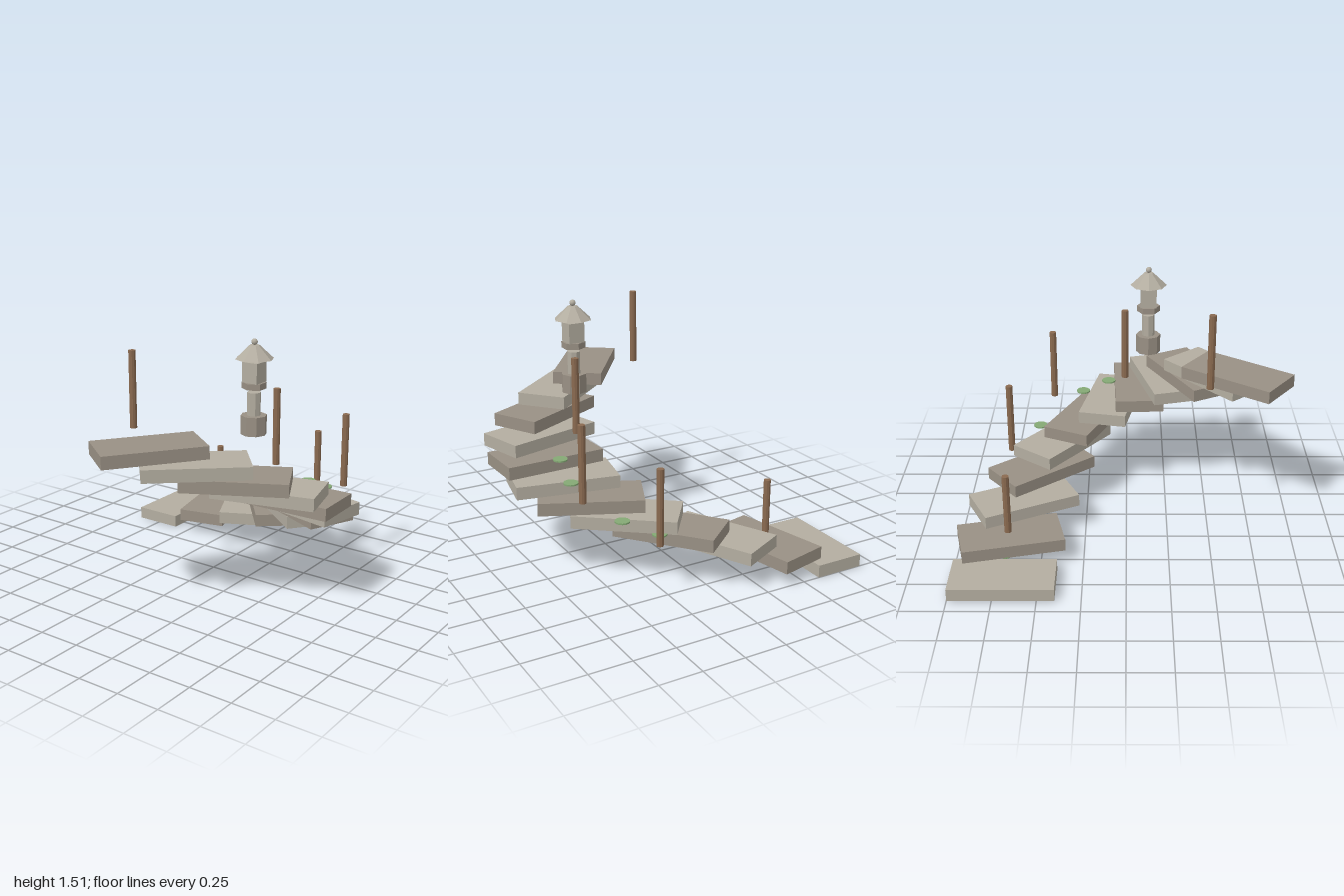
import * as THREE from 'three';

const mat = (color) => new THREE.MeshStandardMaterial({ color, flatShading: true });

export function createModel() {
  const root = new THREE.Group();
  const stone = mat(0xb3ada0), darkStone = mat(0x999084);
  const wood = mat(0x8a6a50), moss = mat(0x84a974);

  const add = (name, geometry, material, x, y, z, parent = root) => {
    const mesh = new THREE.Mesh(geometry, material);
    mesh.name = name;
    mesh.position.set(x, y, z);
    parent.add(mesh);
    return mesh;
  };

  // Slabs climb along an elliptical arc, each turned a little further
  const count = 12, rise = 0.082, thick = 0.075;
  const slab = new THREE.BoxGeometry(0.3, thick, 0.6);
  const mossDisc = new THREE.CylinderGeometry(0.043, 0.043, 0.009, 14);
  for (let i = 0; i < count; i++) {
    const a = (i / (count - 1)) * Math.PI * 0.8;
    const x = -0.755 + 1.352 * Math.sin(a);
    const z = 0.052 - 0.752 * Math.cos(a);
    const y = i * rise;
    add('step', slab, i % 2 ? darkStone : stone, x, y + thick / 2, z).rotation.y = a;
    // Moss patches at the slab's leading edge
    if (i < 8 && i % 3 !== 2) {
      add('mossPatch', mossDisc, moss,
        x + 0.19 * Math.cos(a), y + thick + 0.007, z - 0.19 * Math.sin(a));
    }
  }

  // Wooden posts: x, base height, z
  const post = new THREE.CylinderGeometry(0.021, 0.021, 0.45, 10);
  [
    [-0.44, 0.08, -0.695],
    [0.295, 0.304, -0.735],
    [0.63, 0.53, -0.475],
    [0.435, 0.755, -0.01],
    [-0.215, 0.98, 0.48],
  ].forEach(([x, y, z]) => add('post', post, wood, x, y + 0.225, z));

  // Stone lantern
  const lantern = new THREE.Group();
  lantern.name = 'lantern';
  lantern.position.set(0.373, 0, 0.133);
  root.add(lantern);
  const tier = (name, rTop, rBottom, y0, y1, sides, material) =>
    add(name, new THREE.CylinderGeometry(rTop, rBottom, y1 - y0, sides), material,
      0, (y0 + y1) / 2, 0, lantern);
  tier('lanternBase', 0.075, 0.075, 0.963, 1.073, 8, darkStone);
  tier('lanternColumn', 0.039, 0.039, 1.073, 1.205, 8, stone);
  tier('lanternPlatform', 0.07, 0.07, 1.227, 1.263, 6, darkStone);
  add('lanternFirebox', new THREE.BoxGeometry(0.097, 0.117, 0.097), stone, 0, 1.32, 0, lantern);
  tier('lanternRoof', 0.028, 0.11, 1.395, 1.472, 8, stone);
  const finial = new THREE.MeshStandardMaterial({ color: 0xb3ada0 });
  add('lanternFinial', new THREE.SphereGeometry(0.018, 12, 8), finial, 0, 1.49, 0, lantern);

  return root;
}
